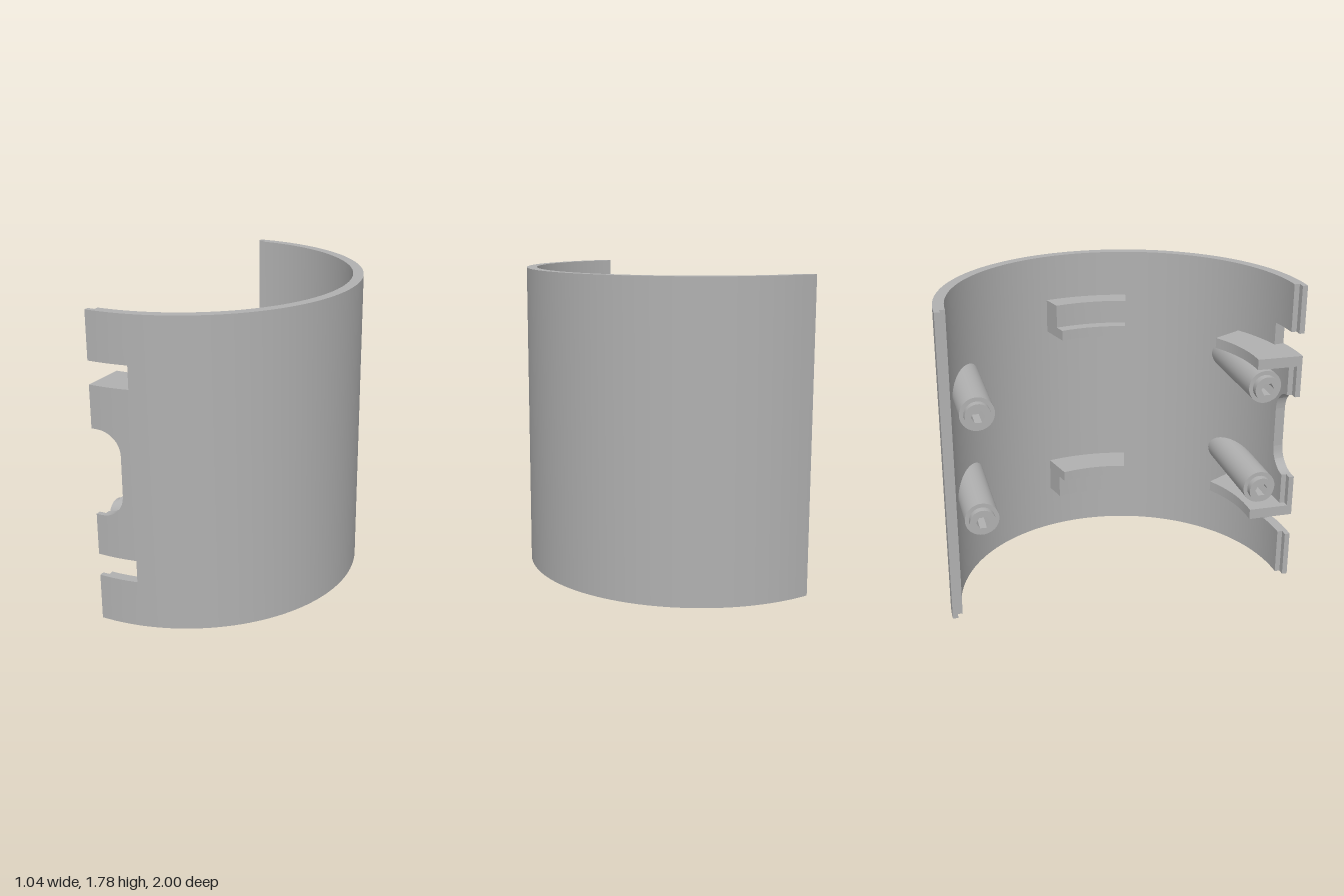
import * as THREE from 'three';
import { mergeGeometries, toCreasedNormals } from 'three/addons/utils/BufferGeometryUtils.js';

const CX = -0.48, EDGE = -0.52, R = 1, RI = 0.94, LIP = 0.97, H = 1.78, MID = H / 2;

// Curved block around the shell axis; angles run from the front (+z) towards +x
function sector(r0, r1, a0, a1, y0, y1) {
  const n = Math.max(6, Math.round((a1 - a0) * 24)), pts = [];
  const add = (r, a) => pts.push(new THREE.Vector2(CX + r * Math.sin(a), -r * Math.cos(a)));
  for (let i = 0; i <= n; i++) add(r1, a0 + (a1 - a0) * i / n);
  for (let i = n; i >= 0; i--) add(r0, a0 + (a1 - a0) * i / n);
  const g = new THREE.ExtrudeGeometry(new THREE.Shape(pts), { depth: y1 - y0, bevelEnabled: false });
  return g.rotateX(-Math.PI / 2).translate(0, y0, 0);
}

function block(x0, x1, y0, y1, z0, z1) {
  const g = new THREE.BoxGeometry(x1 - x0, y1 - y0, z1 - z0).toNonIndexed();
  return g.translate((x0 + x1) / 2, (y0 + y1) / 2, (z0 + z1) / 2);
}

// Upright slice of the front wall with its own lower and upper outline, bent to the shell
function slice(x0, x1, lo0, lo1, hi0, hi1) {
  const shape = new THREE.Shape([[x0, lo0], [x1, lo1], [x1, hi1], [x0, hi0]].map(p => new THREE.Vector2(...p)));
  const g = new THREE.ExtrudeGeometry(shape, { depth: 1, bevelEnabled: false });
  const p = g.attributes.position, isLip = x0 < CX - 0.01;
  for (let i = 0; i < p.count; i++) {
    const r = p.getZ(i) > 0.5 ? R : isLip ? LIP : RI;
    const u = p.getX(i) - CX;
    if (isLip) p.setZ(i, r);
    else p.setXYZ(i, CX + u * r, p.getY(i), r * Math.sqrt(1 - u * u));
  }
  return g;
}

// Half-height of the rounded opening in the front edge
const openHalf = x => 0.1175 + Math.sqrt(Math.max(0, 0.0169 - Math.max(0, x - CX) ** 2));

function shellGeometry() {
  const parts = [
    sector(RI, R, Math.asin(0.19), Math.PI, 0, H),
    block(EDGE, CX, 0, H, -R, -LIP),
  ];
  const xs = [EDGE];
  for (let i = 0; i <= 8; i++) xs.push(CX + 0.13 * Math.sin(i / 8 * Math.PI / 2));
  xs.push(-0.32, -0.29);
  for (let i = 0; i < xs.length - 1; i++) {
    const a = xs[i], b = xs[i + 1];
    parts.push(slice(a, b, 0, 0, 0.27, 0.27), slice(a, b, 1.51, 1.51, H, H));
    if (a > -0.351) parts.push(slice(a, b, 0.4, 0.4, 1.38, 1.38));
    else {
      const ha = openHalf(a), hb = openHalf(b);
      parts.push(slice(a, b, 0.4, 0.4, MID - ha, MID - hb));
      parts.push(slice(a, b, MID + ha, MID + hb, 1.38, 1.38));
    }
  }
  for (const g of parts) g.deleteAttribute('uv');
  return toCreasedNormals(mergeGeometries(parts), 0.5);
}

// Screw post along x, its far end trimmed to the curve of the wall
function post(mat, y, z) {
  const g = new THREE.Group();
  const body = new THREE.CylinderGeometry(0.095, 0.095, 1, 40, 1, true).rotateZ(-Math.PI / 2);
  const p = body.attributes.position;
  for (let i = 0; i < p.count; i++) {
    const pz = p.getZ(i) + z;
    p.setX(i, p.getX(i) < 0 ? CX : CX + Math.sqrt(0.97 * 0.97 - pz * pz));
  }
  const shoulder = new THREE.RingGeometry(0.065, 0.095, 40).rotateY(-Math.PI / 2).translate(CX, 0, 0);

  // Narrow tip with a hexagonal socket
  const tipShape = new THREE.Shape().absarc(0, 0, 0.072, 0, Math.PI * 2);
  const hex = [];
  for (let i = 0; i < 6; i++) {
    const a = i * Math.PI / 3;
    hex.push(new THREE.Vector2(0.038 * Math.cos(a), 0.038 * Math.sin(a)));
  }
  tipShape.holes.push(new THREE.Path(hex));
  const tip = toCreasedNormals(new THREE.ExtrudeGeometry(tipShape, { depth: 0.14, bevelEnabled: false, curveSegments: 20 })
    .rotateY(Math.PI / 2).translate(EDGE, 0, 0), 0.5);
  const floor = new THREE.CircleGeometry(0.06, 12).rotateY(-Math.PI / 2).translate(EDGE + 0.12, 0, 0);

  const named = { postBody: body, postShoulder: shoulder, postTip: tip, socketFloor: floor };
  for (const [name, geo] of Object.entries(named)) {
    const m = new THREE.Mesh(geo, mat);
    m.name = name;
    g.add(m);
  }
  g.position.set(0, y, z);
  g.name = 'screwPost';
  return g;
}

export function createModel() {
  const model = new THREE.Group();
  model.name = 'halfShellCover';
  const grey = new THREE.MeshStandardMaterial({ color: 0xb0b0b0 });
  grey.name = 'plain grey';
  const add = (name, geo) => {
    const m = new THREE.Mesh(geo, grey);
    m.name = name;
    model.add(m);
  };

  add('shell', shellGeometry());
  for (const y of [0.58, 1.2]) for (const z of [-0.805, 0.805]) model.add(post(grey, y, z));

  // Ledges and locking blocks, mirrored above and below the middle
  const deg = Math.PI / 180;
  for (const up of [true, false]) {
    const span = (y0, y1) => up ? [y0, y1] : [H - y1, H - y0];
    const ledge = span(1.32, 1.38), lock = span(1.38, 1.515);
    add('frontLedge', toCreasedNormals(sector(0.74, 0.95, 0, 30 * deg, ...ledge), 0.5));
    add('frontLedgeEnd', block(EDGE, CX, ...ledge, 0.74, LIP));
    add('sideLedge', toCreasedNormals(sector(0.74, 0.95, 75 * deg, 105 * deg, ...ledge), 0.5));
    add('sideLock', toCreasedNormals(sector(0.81, 0.95, 75 * deg, 105 * deg, ...lock), 0.5));
  }
  return model;
}
